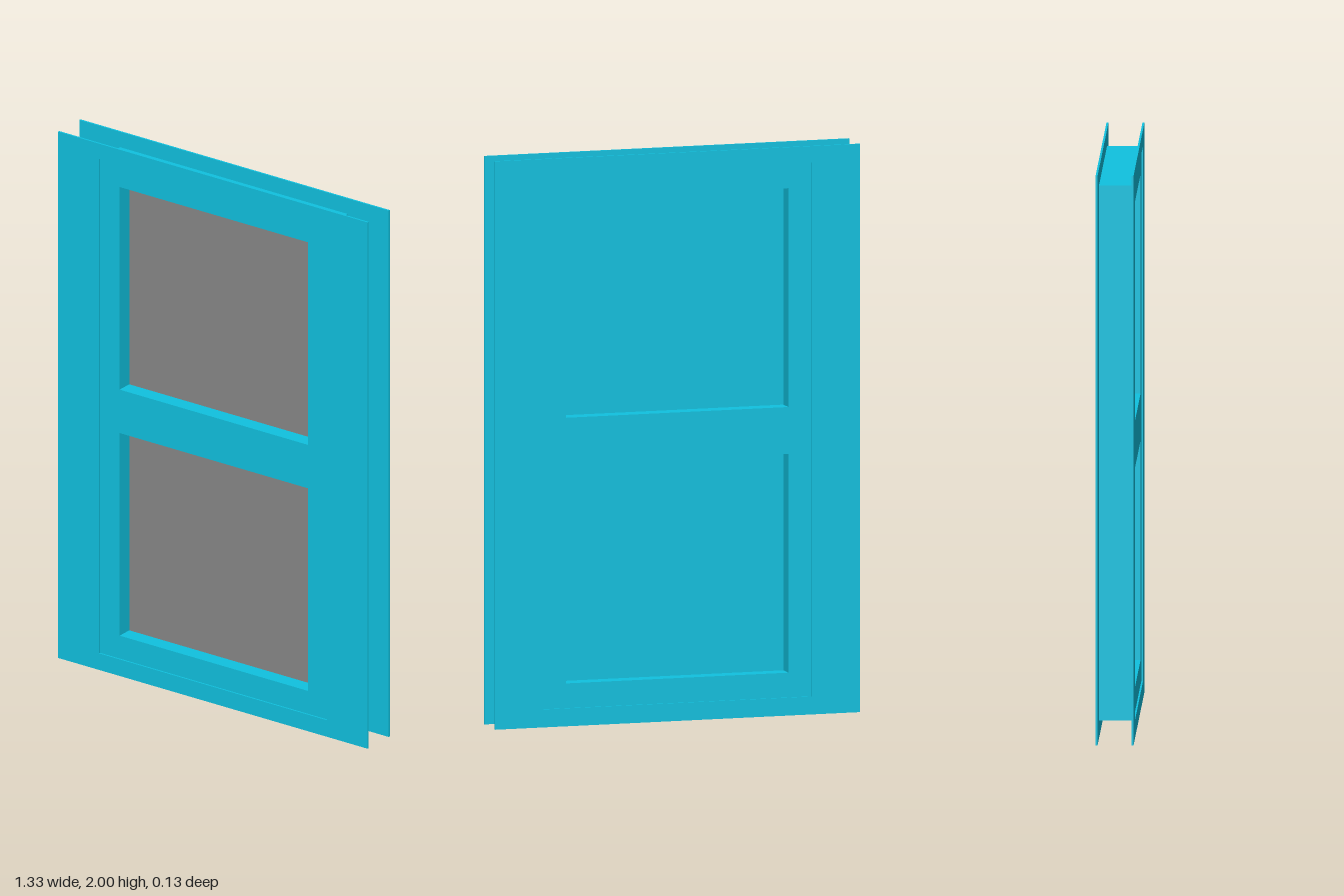
import * as THREE from 'three';

const CYAN = new THREE.MeshStandardMaterial({ color: 0x10c2e0 });
const GREY = new THREE.MeshStandardMaterial({ color: 0x888888 });

// Openings for the two panes: [bottom, top]
const OPENINGS = [[0.15, 0.92], [1.085, 1.855]];
const OPENING_HALF_WIDTH = 0.405;
const FRAME = { halfWidth: 0.49, bottom: 0.063, top: 1.942, halfDepth: 0.06 };
const PLATE = { halfWidth: 0.665, thickness: 0.007, outerZ: 0.066 };

function rectPoints(halfWidth, bottom, top) {
  return [[-halfWidth, bottom], [halfWidth, bottom], [halfWidth, top], [-halfWidth, top]]
    .map(([x, y]) => new THREE.Vector2(x, y));
}

// Flat slab with rectangular holes, spanning z0 to z0 + depth
function slab(name, outline, holes, z0, depth, material) {
  const shape = new THREE.Shape(outline);
  for (const hole of holes) shape.holes.push(new THREE.Path(hole));
  const geometry = new THREE.ExtrudeGeometry(shape, { depth, bevelEnabled: false });
  const mesh = new THREE.Mesh(geometry, material);
  mesh.name = name;
  mesh.position.z = z0;
  return mesh;
}

export function createModel() {
  const model = new THREE.Group();
  model.name = 'window';

  // Deep central frame with two openings
  const frameOutline = rectPoints(FRAME.halfWidth, FRAME.bottom, FRAME.top);
  const openings = OPENINGS.map(([b, t]) => rectPoints(OPENING_HALF_WIDTH, b, t));
  model.add(slab('frame', frameOutline, openings, -FRAME.halfDepth, 2 * FRAME.halfDepth, CYAN));

  // Thin trim plates around the frame, one on each side of the wall
  const plateOutline = rectPoints(PLATE.halfWidth, 0, 2);
  for (const [name, z] of [['frontTrim', PLATE.outerZ - PLATE.thickness], ['backTrim', -PLATE.outerZ]]) {
    model.add(slab(name, plateOutline, [frameOutline], z, PLATE.thickness, CYAN));
  }

  // Panes at mid depth: grey in front, coloured behind
  OPENINGS.forEach(([bottom, top], i) => {
    const level = i === 0 ? 'lower' : 'upper';
    for (const [side, z, material] of [['Front', 0.0015, GREY], ['Back', -0.0015, CYAN]]) {
      const geometry = new THREE.BoxGeometry(2 * OPENING_HALF_WIDTH, top - bottom, 0.003);
      const pane = new THREE.Mesh(geometry, material);
      pane.name = `${level}Pane${side}`;
      pane.position.set(0, (bottom + top) / 2, z);
      model.add(pane);
    }
  });

  return model;
}
